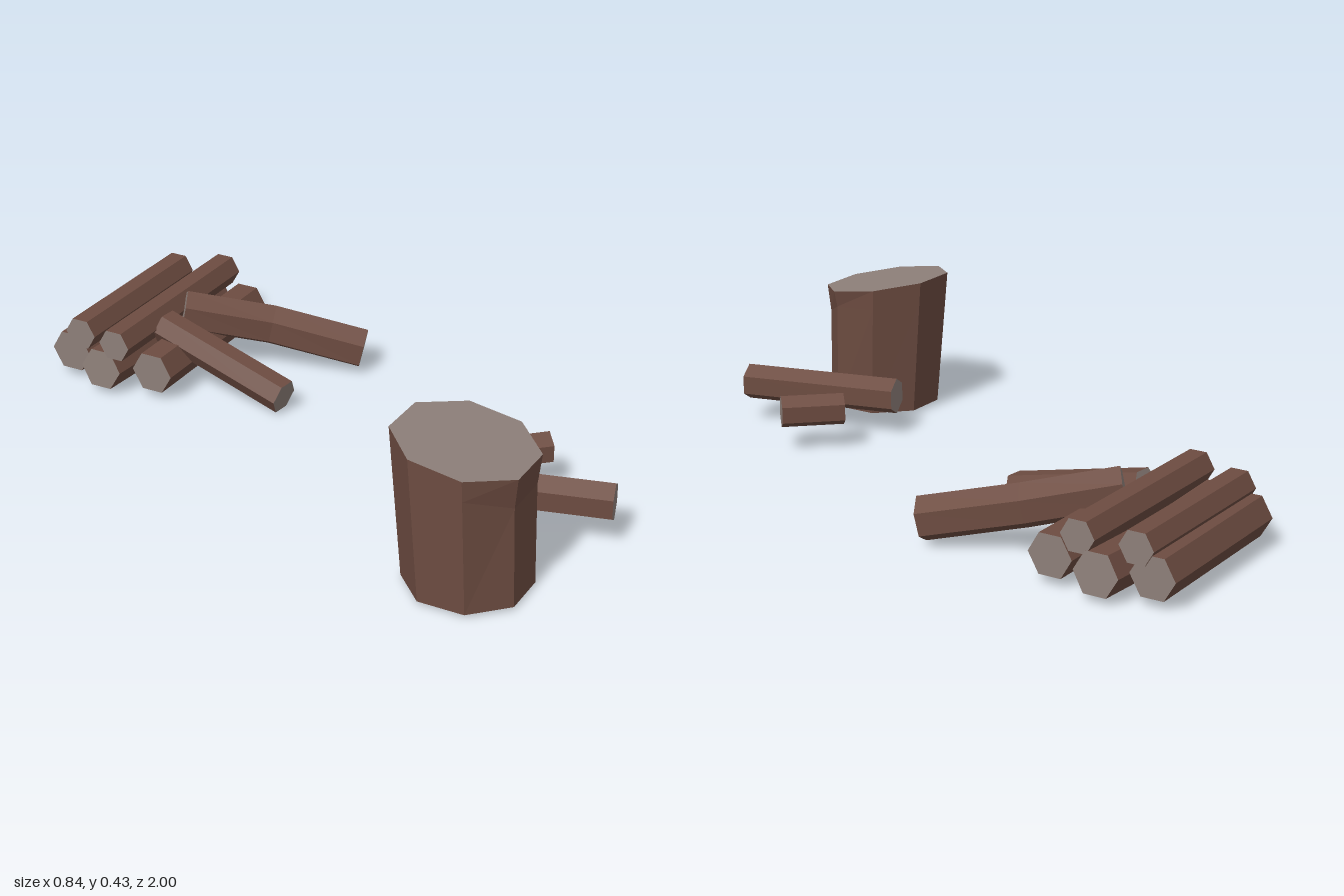
import * as THREE from 'three';

const V = (x, y, z) => new THREE.Vector3(x, y, z);
const bark = new THREE.MeshStandardMaterial({ color: 0x6d4c41 });
bark.name = 'bark brown';
const cutWood = new THREE.MeshStandardMaterial({ color: 0x8d7f79 });
cutWood.name = 'cut wood grey';

// Flat-faced mesh from a list of triangle corners
function facets(points, material, name) {
  const geometry = new THREE.BufferGeometry().setFromPoints(points);
  geometry.computeVertexNormals();
  const mesh = new THREE.Mesh(geometry, material);
  mesh.name = name;
  return mesh;
}

// Joins rings (counter-clockwise about the axis) into a barked body with two end caps
function skin(name, rings, startIsBark = false) {
  const n = rings[0].length;
  const sides = [], ends = [];
  for (let i = 0; i < rings.length - 1; i++) {
    for (let j = 0; j < n; j++) {
      const k = (j + 1) % n;
      const a = rings[i][j], b = rings[i][k], c = rings[i + 1][k], d = rings[i + 1][j];
      sides.push(a, b, c, a, c, d);
    }
  }
  const first = rings[0], last = rings[rings.length - 1];
  for (let j = 1; j < n - 1; j++) {
    (startIsBark ? sides : ends).push(first[0], first[j + 1], first[j]);
    ends.push(last[0], last[j], last[j + 1]);
  }
  const group = new THREE.Group();
  group.name = name;
  group.add(facets(sides, bark, name + 'Bark'), facets(ends, cutWood, name + 'CutEnds'));
  return group;
}

// Six-sided log along a path; ridgeUp puts an edge on top instead of a flat
function log(name, path, radius, ridgeUp) {
  const pts = path.map((p) => V(...p));
  const rings = pts.map((p, i) => {
    const t = pts[Math.min(i + 1, pts.length - 1)].clone().sub(pts[Math.max(i - 1, 0)]).normalize();
    const u = V(0, 1, 0).cross(t).normalize();
    const v = t.clone().cross(u);
    return Array.from({ length: 6 }, (_, j) => {
      const a = (j + (ridgeUp ? 0.5 : 0)) * Math.PI / 3;
      return p.clone().addScaledVector(u, radius * Math.cos(a)).addScaledVector(v, radius * Math.sin(a));
    });
  });
  return skin(name, rings);
}

// Eight-sided chopping stump with a slanted top and a chipped front rim
function stump() {
  const bottom = [], middle = [], top = [];
  const chipHeight = [0.29, 0.29, 0.34];
  for (let j = 0; j < 8; j++) {
    const a = j * Math.PI / 4 - 0.045;
    const s = Math.sin(a), c = Math.cos(a);
    const lo = V(-0.23 + 0.17 * s, 0.013, 0.825 + 0.17 * c);
    const hi = V(-0.231 + 0.19 * s, 0, 0.803 + 0.19 * c);
    hi.y = 0.402 - 0.06 * (hi.x + 0.23) - 0.145 * (hi.z - 0.8);
    const mid = lo.clone().lerp(hi, 0.85);
    if (j < 3) mid.set(-0.23 + 0.178 * s, chipHeight[j], 0.805 + 0.178 * c);
    bottom.push(lo);
    middle.push(mid);
    top.push(hi);
  }
  return skin('stump', [bottom, middle, top], true);
}

export function createModel() {
  const model = new THREE.Group();
  model.name = 'woodpile';
  model.add(
    stump(),
    // Loose pieces beside the stump
    log('longSplitLog', [[-0.077, 0.119, 0.536], [0.195, 0.119, 0.932]], 0.0544, true),
    log('shortSplitLog', [[0.116, 0.119, 0.533], [0.28, 0.119, 0.617]], 0.048, true),
    // Bottom row of the pile
    log('frontBottomLog', [[-0.217, 0.085, -0.49], [0.3, 0.085, -0.675]], 0.065, false),
    log('middleBottomLog', [[-0.306, 0.08, -0.617], [-0.013, 0.06, -0.724], [0.28, 0.08, -0.83]], 0.065, false),
    log('backBottomLog', [[-0.306, 0.085, -0.76], [0.19, 0.085, -0.94]], 0.065, false),
    // Top row of the pile
    log('frontTopLog', [[-0.29, 0.167, -0.57], [0.295, 0.167, -0.776]], 0.05, false),
    log('backTopLog', [[-0.3, 0.155, -0.72], [0.21, 0.155, -0.9]], 0.05, false),
    // Logs leaning on the pile
    log('thinLeaningLog', [[-0.088, 0.16, -0.59], [0.015, 0.052, -0.172]], 0.051, false),
    log('bentLeaningLog', [[0, 0.178, -0.607], [0.2, 0.127, -0.44], [0.378, 0.067, -0.23]], 0.063, true),
  );
  return model;
}
